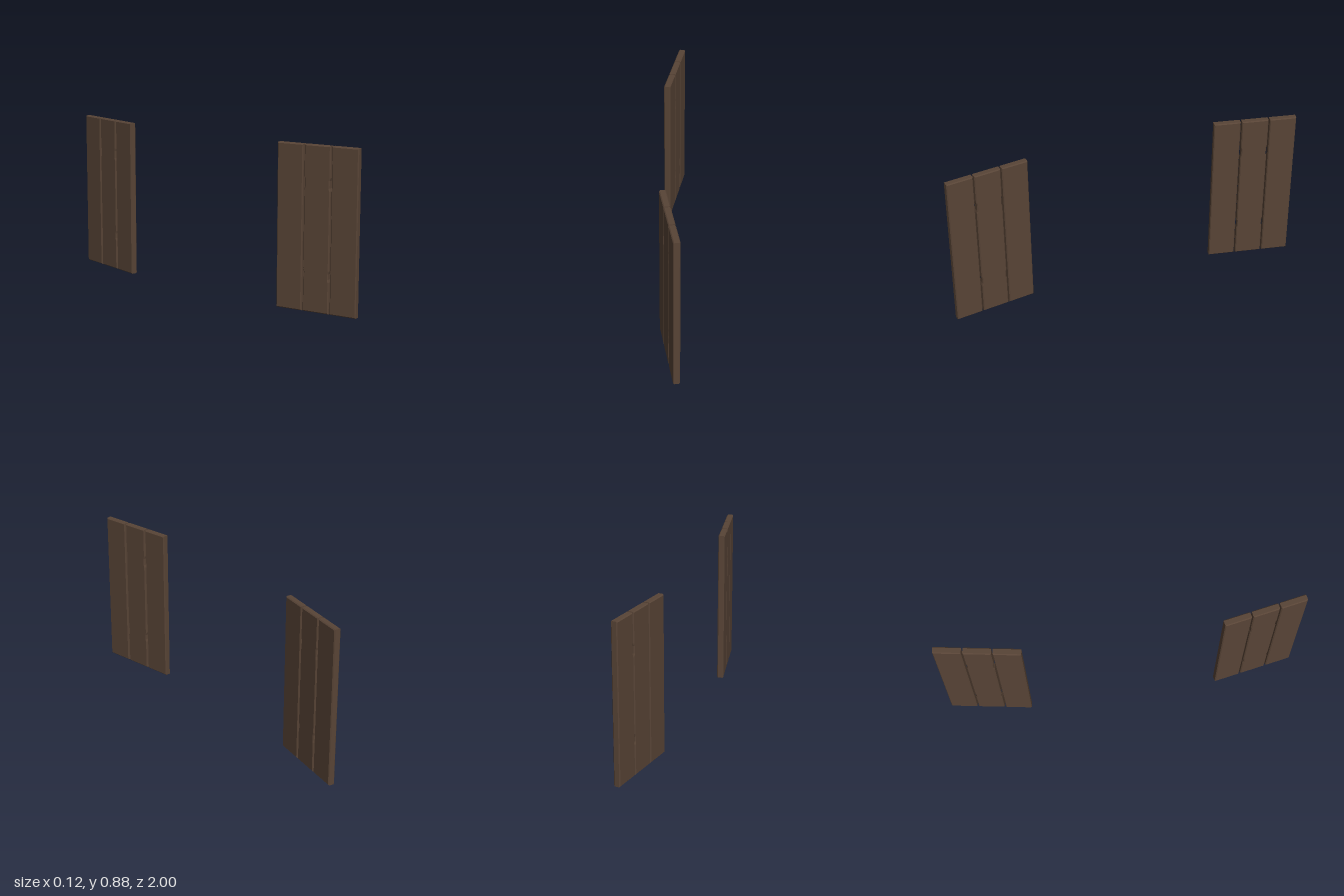
import * as THREE from 'three';

const HEIGHT = 0.885, WIDTH = 0.15, THICK = 0.037, PITCH = 0.158, BEVEL = 0.005;

// A chamfered board standing on y = 0, its broad faces towards +x and -x.
function plankGeometry(nick) {
  const w = WIDTH / 2 - BEVEL, top = HEIGHT - BEVEL;
  const s = new THREE.Shape();
  s.moveTo(-w, BEVEL);
  s.lineTo(w, BEVEL);
  // shallow worn nicks along both long edges
  const nicks = [[0.17, 0.23], [0.65, 0.72]];
  if (nick) for (const [a, b] of nicks) {
    s.lineTo(w, a); s.lineTo(w - nick, a + 0.015); s.lineTo(w - nick, b - 0.015); s.lineTo(w, b);
  }
  s.lineTo(w, top);
  s.lineTo(-w, top);
  if (nick) for (const [a, b] of [...nicks].reverse()) {
    s.lineTo(-w, b); s.lineTo(-w + nick, b - 0.015); s.lineTo(-w + nick, a + 0.015); s.lineTo(-w, a);
  }
  s.closePath();
  const g = new THREE.ExtrudeGeometry(s, {
    depth: THICK - 2 * BEVEL, bevelEnabled: true, bevelSegments: 1,
    bevelSize: BEVEL, bevelThickness: BEVEL,
  });
  g.translate(0, 0, -(THICK / 2 - BEVEL));
  g.rotateY(Math.PI / 2);
  return g;
}

export function createModel() {
  const model = new THREE.Group();
  const wood = new THREE.MeshStandardMaterial({ color: 0x584436 });
  wood.name = 'dark brown wood';
  const plain = plankGeometry(0), worn = plankGeometry(0.004);

  // two three-board shutters, mirrored front to back and slightly angled
  for (const side of [1, -1]) {
    const shutter = new THREE.Group();
    shutter.name = side > 0 ? 'frontShutter' : 'backShutter';
    for (let i = -1; i <= 1; i++) {
      const plank = new THREE.Mesh(i === 0 ? worn : plain, wood);
      plank.name = ['innerPlank', 'middlePlank', 'outerPlank'][i + 1];
      plank.position.z = side * i * PITCH;
      shutter.add(plank);
    }
    shutter.position.z = side * 0.767;
    shutter.rotation.y = side * THREE.MathUtils.degToRad(10);
    model.add(shutter);
  }
  return model;
}
